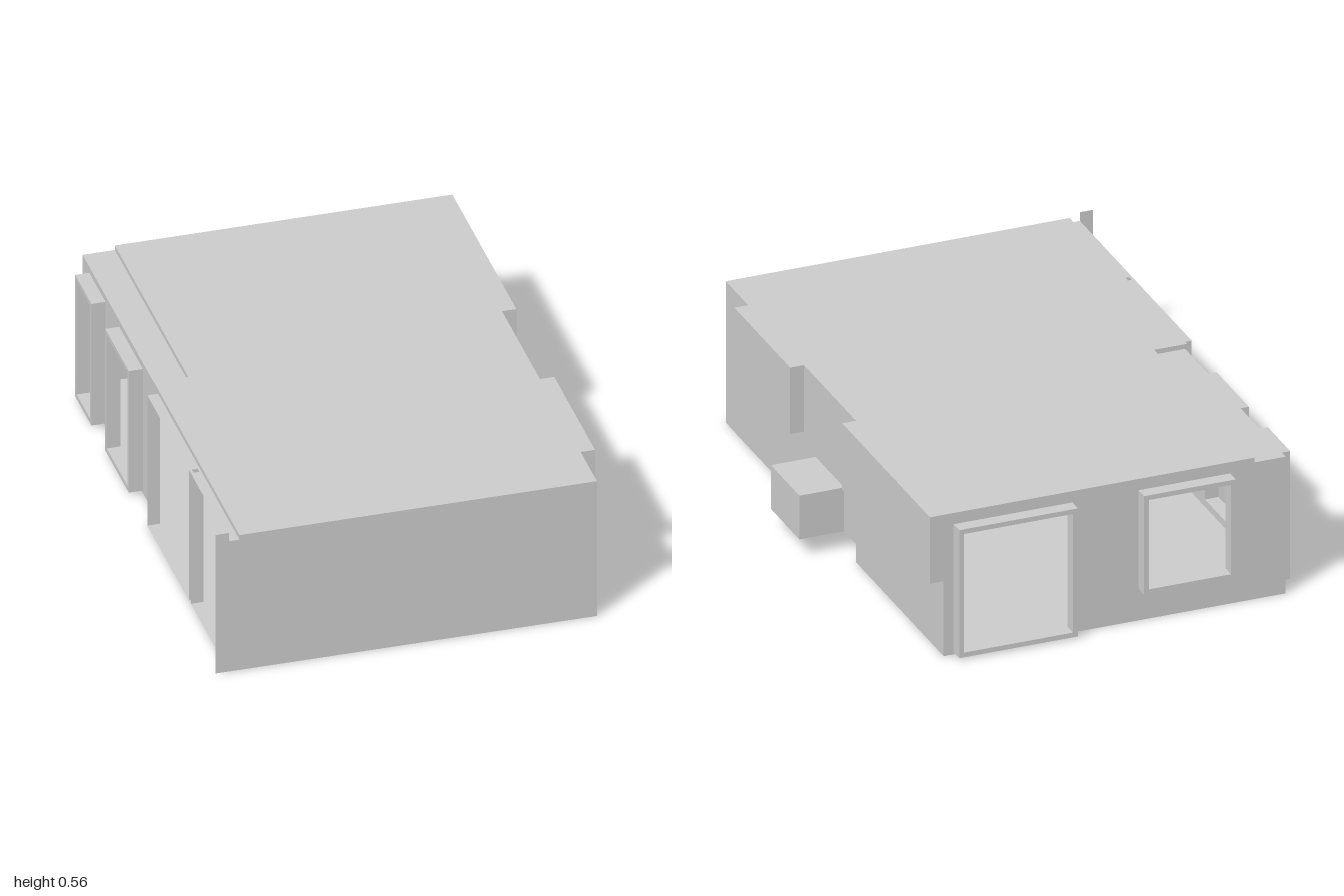
import * as THREE from 'three';

const material = new THREE.MeshStandardMaterial({ color: 0xcccccc, side: THREE.DoubleSide, flatShading: true });
const H = 0.54, LOW = 0.522;             // ceiling and lowered edge heights
const L = -0.67, SILL = -0.715, R = 0.597, BAY = 0.648;
const BACK = -0.95, FRONT = 1;

const rect = (u0, u1, v0, v1) => [[u0, v0], [u1, v0], [u1, v1], [u0, v1]];
const toPoints = pts => pts.map(p => new THREE.Vector2(p[0], p[1]));

// Flat sheet on the plane axis = c. Outline pairs: x -> (z, y), y -> (x, z), z -> (x, y)
function sheet(parent, name, axis, c, outline, holes = []) {
  const shape = new THREE.Shape(toPoints(outline));
  holes.forEach(h => shape.holes.push(new THREE.Path(toPoints(h))));
  const geo = new THREE.ShapeGeometry(shape);
  const p = geo.attributes.position;
  for (let i = 0; i < p.count; i++) {
    const u = p.getX(i), v = p.getY(i);
    if (axis === 'x') p.setXYZ(i, c, v, u);
    else if (axis === 'y') p.setXYZ(i, u, c, v);
    else p.setXYZ(i, u, v, c);
  }
  geo.computeVertexNormals();
  const mesh = new THREE.Mesh(geo, material);
  mesh.name = name;
  parent.add(mesh);
}

// Rectangular ring frame standing out from a wall, drawn in (u, y) and extruded
function frame(parent, name, u0, u1, y0, y1, depth, border = 0.018) {
  const shape = new THREE.Shape(toPoints(rect(u0, u1, y0, y1)));
  shape.holes.push(new THREE.Path(toPoints(rect(u0 + border, u1 - border, y0 + border, y1 - border))));
  const mesh = new THREE.Mesh(new THREE.ExtrudeGeometry(shape, { depth, bevelEnabled: false }), material);
  mesh.name = name;
  parent.add(mesh);
  return mesh;
}

const inset = ([u0, u1, y0, y1], b = 0.018) => rect(u0 + b, u1 - b, y0 + b, y1 - b);

export function createModel() {
  const room = new THREE.Group();
  room.name = 'roomShell';

  // Front wall, with a fin past the glazed side
  sheet(room, 'frontWall', 'z', FRONT, [[-0.763, 0], [R, 0], [R, H], [-0.677, H], [-0.677, LOW],
    [SILL, LOW], [SILL, 0.555], [-0.763, 0.555]]);

  // Back wall with a door and a window
  const backOpenings = [[0.12, 0.56, 0.008, 0.497], [-0.465, -0.125, 0.12, 0.497]];
  sheet(room, 'backWall', 'z', BACK, [[L, 0], [R, 0], [R, 0.286], [BAY, 0.286], [BAY, H],
    [-0.555, H], [-0.555, LOW], [L, LOW]], backOpenings.map(o => inset(o)));
  backOpenings.forEach(o => { frame(room, 'backFrame', ...o, 0.05).position.z = -1; });

  // Left wall with two tall windows
  const sideOpenings = [[-0.87, -0.67, 0.01, 0.497], [-0.5, -0.21, 0.01, 0.497]];
  sheet(room, 'sideWall', 'x', L, rect(BACK, 0, 0, LOW), sideOpenings.map(o => inset(o)));
  sideOpenings.forEach(([z0, z1, y0, y1]) => {
    const f = frame(room, 'sideFrame', -z1, -z0, y0, y1, 0.05);
    f.rotation.y = Math.PI / 2;
    f.position.x = -0.72;
  });

  // Floor, notched around the raised hearth
  sheet(room, 'floor', 'y', 0, [[L, BACK], [R, BACK], [R, -0.165], [0.44, -0.165], [0.44, 0.3],
    [R, 0.3], [R, FRONT], [SILL, FRONT], [SILL, 0], [L, 0]]);

  // Ceiling, its lowered edge strip and the risers between them
  sheet(room, 'ceiling', 'y', H, [[-0.555, BACK], [BAY, BACK], [BAY, -0.165], [R, -0.165], [R, 0.3],
    [BAY, 0.3], [BAY, 0.8], [R, 0.8], [R, FRONT], [-0.677, FRONT], [-0.677, -0.05], [-0.555, -0.05]]);
  sheet(room, 'ceilingStrip', 'y', LOW, rect(L, -0.555, BACK, -0.05));
  sheet(room, 'stripRiser', 'x', -0.555, rect(BACK, -0.05, LOW, H));
  sheet(room, 'stripEndRiser', 'z', -0.05, rect(-0.677, -0.555, LOW, H));

  // Glazed side: head strip, posts and opening edges
  sheet(room, 'doorHead', 'y', LOW, rect(SILL, -0.677, 0, FRONT),
    [rect(-0.705, -0.685, 0.513, 0.533)]);
  sheet(room, 'headRiser', 'x', -0.677, rect(-0.05, FRONT, LOW, H));
  for (const z of [0, 0.51, 0.536]) sheet(room, 'doorPost', 'z', z, rect(SILL, L, 0, LOW));

  // Right wall, open to the bays, firebox and hearth
  sheet(room, 'bayWall', 'x', R, [[1, 0], [0.3, 0], [0.3, 0.07], [0.195, 0.07], [0.195, 0.237],
    [-0.06, 0.237], [-0.06, 0.07], [-0.165, 0.07], [-0.165, 0], [BACK, 0], [BACK, 0.286],
    [-0.165, 0.286], [-0.165, H], [0.3, H], [0.3, 0.286], [0.8, 0.286], [0.8, H], [1, H]]);

  // Upper bays
  for (const [z0, z1] of [[0.3, 0.8], [BACK, -0.165]]) {
    sheet(room, 'bayFace', 'x', BAY, rect(z0, z1, 0.286, H));
    sheet(room, 'baySill', 'y', 0.286, rect(R, BAY, z0, z1));
    for (const z of [z0, z1]) if (z !== BACK) sheet(room, 'bayEnd', 'z', z, rect(R, BAY, 0.286, H));
  }

  // Firebox, open towards the room
  sheet(room, 'fireboxBack', 'x', 0.763, rect(-0.06, 0.195, 0.07, 0.237));
  for (const y of [0.07, 0.237]) sheet(room, 'fireboxPlate', 'y', y, rect(R, 0.763, -0.06, 0.195));
  for (const z of [-0.06, 0.195]) sheet(room, 'fireboxSide', 'z', z, rect(R, 0.763, 0.07, 0.237));

  // Raised hearth, hollow underneath
  sheet(room, 'hearthTop', 'y', 0.07, rect(0.44, R, -0.165, 0.3));
  sheet(room, 'hearthFront', 'x', 0.44, rect(-0.165, 0.3, 0, 0.07));
  for (const z of [-0.165, 0.3]) sheet(room, 'hearthEnd', 'z', z, rect(0.44, R, 0, 0.07));

  return room;
}
